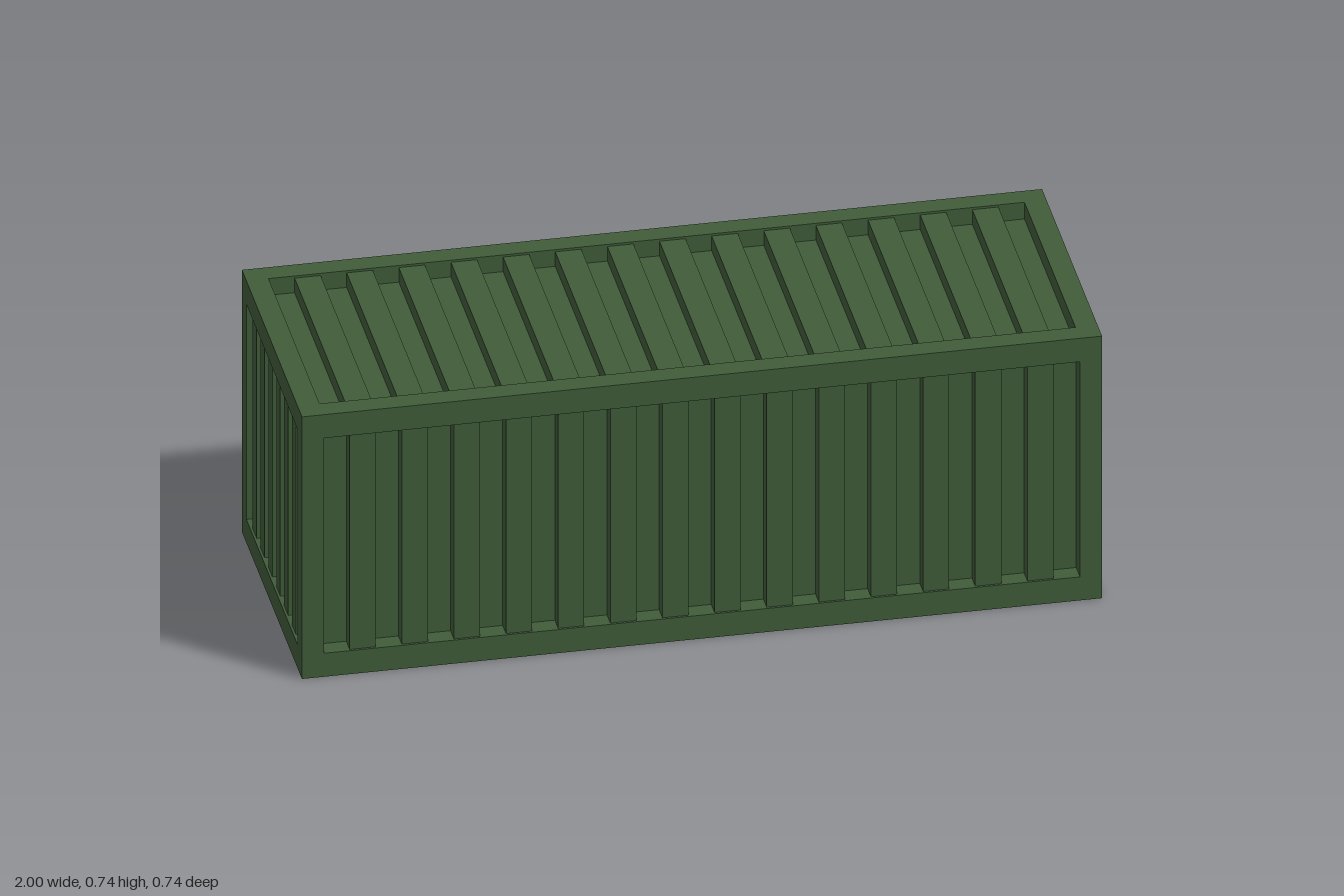
import * as THREE from 'three';

const X = 0.996, H = 0.737, Z = 0.368; // half length, height, half depth
const POST = 0.055, RAIL = 0.066, DEPTH = 0.047; // frame sizes and depth of the corrugation
const green = new THREE.MeshStandardMaterial({ color: 0x405c3a });
const beige = new THREE.MeshStandardMaterial({ color: 0xc8bfa2 });

// Box given by its lower and upper corners
function block(parent, name, [x0, y0, z0], [x1, y1, z1], material = green) {
  const mesh = new THREE.Mesh(new THREE.BoxGeometry(x1 - x0, y1 - y0, z1 - z0), material);
  mesh.position.set((x0 + x1) / 2, (y0 + y1) / 2, (z0 + z1) / 2);
  mesh.name = name;
  parent.add(mesh);
  return mesh;
}

function group(parent, name) {
  const g = new THREE.Group();
  g.name = name;
  parent.add(g);
  return g;
}

// Calls place(start, end) for every raised strip; both outer strips stay low
function strips(from, to, count, place) {
  const step = (to - from) / count;
  for (let i = 1; i < count; i += 2) place(from + i * step, from + (i + 1) * step);
}

// Door leaf: a raised frame with four openings
function leafGeometry() {
  const rect = (path, x0, y0, x1, y1) =>
    path.moveTo(x0, y0).lineTo(x1, y0).lineTo(x1, y1).lineTo(x0, y1).closePath();
  const shape = new THREE.Shape();
  rect(shape, -0.14, 0.133, 0.14, 0.62);
  for (const [y0, y1] of [[0.163, 0.238], [0.255, 0.361], [0.378, 0.481], [0.499, 0.589]]) {
    const hole = new THREE.Path();
    rect(hole, -0.113, y0, 0.113, y1);
    shape.holes.push(hole);
  }
  const geometry = new THREE.ExtrudeGeometry(shape, { depth: 0.016, bevelEnabled: false });
  return geometry.rotateY(Math.PI / 2);
}

// Locking rod whose ends bend back into the door
function rodGeometry(back, front) {
  const v = (x, y) => new THREE.Vector3(x, y, 0);
  const lo = 0.111, hi = 0.647, r = 0.028;
  const path = new THREE.CurvePath();
  path.add(new THREE.LineCurve3(v(back, lo), v(front - r, lo)));
  path.add(new THREE.QuadraticBezierCurve3(v(front - r, lo), v(front, lo), v(front, lo + r)));
  path.add(new THREE.LineCurve3(v(front, lo + r), v(front, hi - r)));
  path.add(new THREE.QuadraticBezierCurve3(v(front, hi - r), v(front, hi), v(front - r, hi)));
  path.add(new THREE.LineCurve3(v(front - r, hi), v(back, hi)));
  return new THREE.TubeGeometry(path, 120, 0.0125, 14, false);
}

export function createModel() {
  const model = new THREE.Group();
  model.name = 'shippingContainer';

  // Closed body at the bottom of the corrugation
  block(model, 'body', [-X + DEPTH, DEPTH, -Z + DEPTH], [X - DEPTH, H - DEPTH, Z - DEPTH]);

  // Corner posts and rails
  const frame = group(model, 'frame');
  for (const sx of [-1, 1]) {
    const x0 = sx < 0 ? -X : X - POST, x1 = x0 + POST;
    for (const sz of [-1, 1]) {
      const z0 = sz < 0 ? -Z : Z - POST;
      block(frame, 'cornerPost', [x0, RAIL, z0], [x1, H - RAIL, z0 + POST]);
    }
    for (const y0 of [0, H - RAIL]) block(frame, 'endRail', [x0, y0, -Z + POST], [x1, y0 + RAIL, Z - POST]);
  }
  for (const z0 of [-Z, Z - POST]) {
    for (const y0 of [0, H - RAIL]) block(frame, 'sideRail', [-X, y0, z0], [X, y0 + RAIL, z0 + POST]);
  }

  // Raised strips on the long sides, roof and floor
  const inset = 0.006;
  const sideRibs = group(model, 'sideCorrugation');
  const roofRibs = group(model, 'roofCorrugation');
  const floorRibs = group(model, 'floorCorrugation');
  strips(-X + POST, X - POST, 29, (a, b) => {
    block(sideRibs, 'frontRib', [a, RAIL, Z - DEPTH - 0.01], [b, H - RAIL, Z - inset]);
    block(sideRibs, 'backRib', [a, RAIL, -Z + inset], [b, H - RAIL, -Z + DEPTH + 0.01]);
    block(roofRibs, 'roofRib', [a, H - DEPTH - 0.01, -Z + POST], [b, H - inset, Z - POST]);
    block(floorRibs, 'floorRib', [a, inset, -Z + POST], [b, DEPTH + 0.01, Z - POST]);
  });

  // Raised strips on the closed end
  const endRibs = group(model, 'endCorrugation');
  strips(-Z + POST, Z - POST, 13, (a, b) => {
    block(endRibs, 'endRib', [-X + inset, RAIL, a], [-X + DEPTH + 0.01, H - RAIL, b]);
  });

  // Double doors with locking rods and a latch
  const doors = group(model, 'doors');
  const leaf = leafGeometry();
  for (const z of [-0.151, 0.155]) {
    const mesh = new THREE.Mesh(leaf, green);
    mesh.position.set(X - DEPTH, 0, z);
    mesh.name = 'doorLeaf';
    doors.add(mesh);
  }
  const rod = rodGeometry(X - DEPTH - 0.01, 0.9875);
  for (const z of [-0.148, -0.073, 0.084, 0.159]) {
    const mesh = new THREE.Mesh(rod, beige);
    mesh.position.z = z;
    mesh.name = 'lockingRod';
    doors.add(mesh);
  }
  block(doors, 'latch', [X - DEPTH - 0.01, 0.295, -0.027], [0.98, 0.329, 0.032], beige);

  return model;
}
